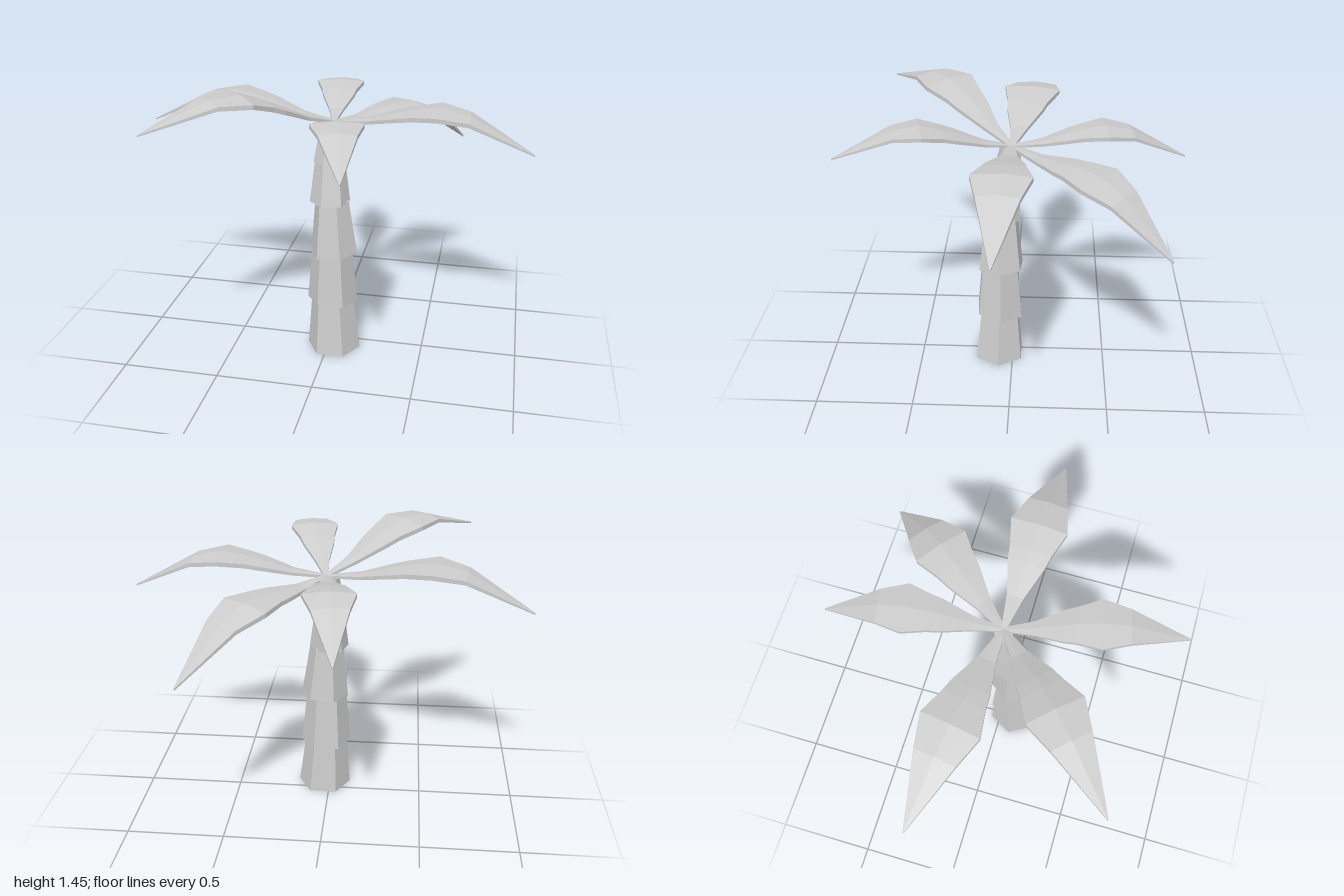
import * as THREE from 'three';

const grey = new THREE.MeshStandardMaterial({ color: 0xcccccc, flatShading: true });
grey.name = 'pale grey';

// One tapered hexagonal trunk piece between two leaning rings
// ring: [x, y, z, radius]; slope tips the lower rim along x and z
function trunkSegment(bottom, top, twist, slopeX, slopeZ) {
  const geo = new THREE.CylinderGeometry(top[3], bottom[3], 1, 6, 1, false, Math.PI / 6 + twist);
  const p = geo.attributes.position;
  for (let i = 0; i < p.count; i++) {
    const lower = p.getY(i) < 0;
    const c = lower ? bottom : top;
    const x = p.getX(i), z = p.getZ(i);
    p.setXYZ(i, c[0] + x, c[1] + (lower ? slopeX * x + slopeZ * z : 0), c[2] + z);
  }
  return geo;
}

// Leaf along +x: stations of [distance, height, half width, thickness]
const STATIONS = [
  [0, 0, 0.012, 0.012],
  [0.17, 0.02, 0.042, 0.016],
  [0.33, 0.06, 0.092, 0.02],
  [0.4, 0.075, 0.105, 0.022],
  [0.53, 0.092, 0.143, 0.022],
  [0.68, 0.065, 0.1, 0.02],
  [1, -0.098, 0.003, 0.008],
];

// Closed thin blade with a slight central ridge
function frondGeometry() {
  const pos = [], index = [];
  for (const [x, y, w, t] of STATIONS) {
    const ridge = w * 0.09;
    pos.push(x, y, w, x, y + ridge, 0, x, y, -w);
    pos.push(x, y - t, -w, x, y + ridge - t, 0, x, y - t, w);
  }
  for (let s = 0; s < STATIONS.length - 1; s++) {
    for (let k = 0; k < 6; k++) {
      const a = s * 6 + k, b = s * 6 + (k + 1) % 6;
      index.push(a, a + 6, b, b, a + 6, b + 6);
    }
  }
  // End caps
  const e = (STATIONS.length - 1) * 6;
  for (let k = 1; k < 5; k++) {
    index.push(0, k, k + 1);
    index.push(e, e + k + 1, e + k);
  }
  const indexed = new THREE.BufferGeometry();
  indexed.setAttribute('position', new THREE.Float32BufferAttribute(pos, 3));
  indexed.setIndex(index);
  const geo = indexed.toNonIndexed();
  geo.computeVertexNormals();
  return geo;
}

export function createModel() {
  const model = new THREE.Group();
  model.name = 'palmTree';

  // Trunk: stacked pieces, each flaring over the one below
  const trunk = new THREE.Group();
  trunk.name = 'trunk';
  const pieces = [
    [[0.03, 0, 0.075, 0.141], [0.02, 0.3, 0.07, 0.11], 0, 0, 0],
    [[0.021, 0.28, 0.07, 0.132], [0.018, 0.57, 0.07, 0.105], 0.08, -0.04, 0.1],
    [[0.026, 0.56, 0.062, 0.124], [0.015, 0.85, 0.058, 0.088], -0.08, 0.08, -0.04],
    [[0.005, 0.84, 0.062, 0.103], [0, 1.06, 0.035, 0.075], 0.26, 0, 0],
    [[0, 1.045, 0.036, 0.083], [0, 1.25, 0.01, 0.05], 0.3, 0, 0],
  ];
  pieces.forEach((args, i) => {
    const mesh = new THREE.Mesh(trunkSegment(...args), grey);
    mesh.name = 'trunkSegment' + (i + 1);
    trunk.add(mesh);
  });
  model.add(trunk);

  // Crown: six fronds given by tip position [x, z], upward tilt and size
  const crown = new THREE.Group();
  crown.name = 'crown';
  const root = new THREE.Vector3(0.015, 1.25, 0.005);
  const blade = frondGeometry();
  const fronds = [
    [1, 0.05, 0],
    [0.62, -0.74, -0.185],
    [-0.09, -0.86, 0],
    [-1, -0.16, 0],
    [-0.73, 0.68, 0.19],
    [0.21, 0.855, 0.1],
  ];
  fronds.forEach(([tx, tz, tilt], i) => {
    const dx = tx - root.x, dz = tz - root.z;
    const reach = Math.cos(tilt) + 0.098 * Math.sin(tilt);
    const mesh = new THREE.Mesh(blade, grey);
    mesh.name = 'frond' + (i + 1);
    mesh.position.copy(root);
    mesh.rotation.set(0, Math.atan2(-dz, dx), tilt);
    mesh.scale.setScalar(Math.hypot(dx, dz) / reach);
    crown.add(mesh);
  });
  model.add(crown);

  return model;
}
